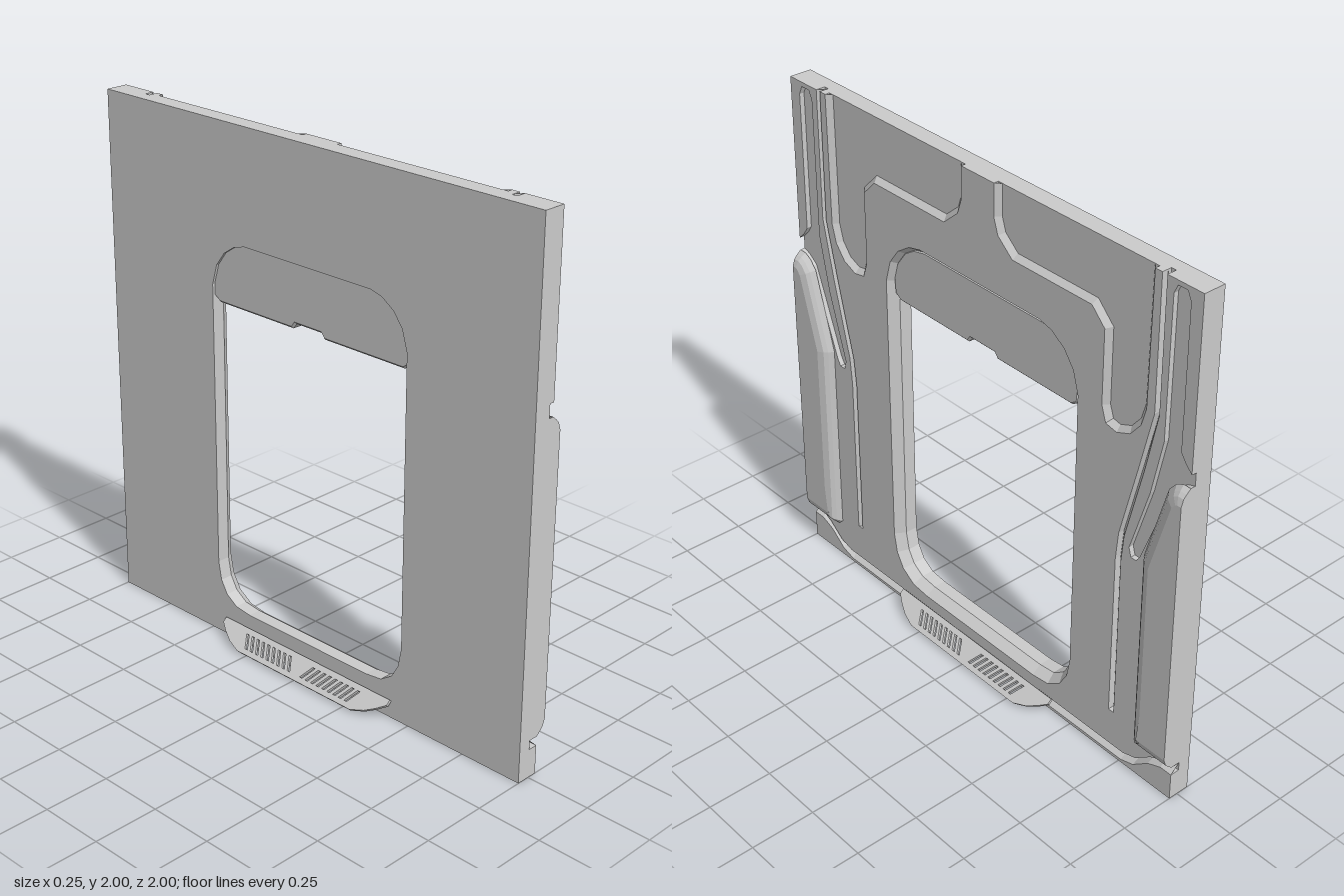
import * as THREE from 'three';

const material = new THREE.MeshStandardMaterial({ color: 0xcccccc, side: THREE.DoubleSide });

// Outlines are [s, y] pairs: s runs sideways across the panel (world -z), x is depth.
const mirror = (pts, m) => pts.map(([s, y]) => [s * m, y]);
const bothHalves = (pts) => [...pts, ...mirror(pts, -1).reverse()];
const toShape = (pts) => new THREE.Shape(pts.map(([s, y]) => new THREE.Vector2(s, y)));

function add(parent, name, geometry) {
  const mesh = new THREE.Mesh(geometry, material);
  mesh.name = name;
  parent.add(mesh);
  return mesh;
}

// Flat plate from an outline, filling depth x0..x1
function plate(pts, x0, x1, holes = [], bevel = 0) {
  const shape = toShape(pts);
  shape.holes = holes.map(toShape);
  const geometry = new THREE.ExtrudeGeometry(shape, {
    depth: x1 - x0 - 2 * bevel, bevelEnabled: bevel > 0, bevelSize: bevel,
    bevelThickness: bevel, bevelOffset: -bevel, bevelSegments: 1,
  });
  return geometry.translate(0, 0, x0 + bevel).rotateY(Math.PI / 2);
}

// Shift a polyline to the right of its direction of travel
function inset(pts, d) {
  const normal = (a, b) => {
    const l = Math.hypot(b[0] - a[0], b[1] - a[1]);
    return [(b[1] - a[1]) / l, (a[0] - b[0]) / l];
  };
  return pts.map((p, i) => {
    const n0 = normal(pts[Math.max(i - 1, 0)], pts[Math.max(i, 1)]);
    const last = pts.length - 1;
    const n1 = normal(pts[Math.min(i, last - 1)], pts[Math.min(i + 1, last)]);
    const k = d / (1 + n0[0] * n1[0] + n0[1] * n1[1]);
    return [p[0] + (n0[0] + n1[0]) * k, p[1] + (n0[1] + n1[1]) * k];
  });
}

// Sloping surface through polylines of equal length, each at its own depth
function slope(rows, closed = false) {
  const n = rows[0].pts.length;
  const pos = [], index = [];
  for (const { pts, x } of rows) for (const [s, y] of pts) pos.push(x, y, -s);
  for (let r = 0; r < rows.length - 1; r++) {
    for (let i = 0; i < (closed ? n : n - 1); i++) {
      const a = r * n + i, b = r * n + (i + 1) % n;
      index.push(a, b, b + n, a, b + n, a + n);
    }
  }
  let geometry = new THREE.BufferGeometry();
  geometry.setAttribute('position', new THREE.Float32BufferAttribute(pos, 3));
  geometry.setIndex(index);
  geometry = geometry.toNonIndexed();
  geometry.computeVertexNormals();
  return geometry;
}

const BACK = -0.05, MID = 0, FLOOR = 0.018, FACE = 0.037;

// Half outlines, mirrored to the other side
const windowEdge = [[0, 1.6], [0.3, 1.6], [0.36, 1.585], [0.42, 1.545], [0.465, 1.485], [0.49, 1.4],
  [0.49, 0.29], [0.475, 0.21], [0.44, 0.15], [0.38, 0.11], [0.3, 0.1], [0, 0.1]];
const windowInner = inset(windowEdge, 0.027);
const recess = [[0.8, 2], [0.795, 1.5], [0.775, 1.43], [0.73, 1.375], [0.67, 1.35], [0.62, 1.36], [0.6, 1.42],
  [0.6, 1.7], [0.54, 1.76], [0.17, 1.76], [0.1, 1.82], [0.08, 1.88], [0.08, 2]];
const slot = [[1, 1.31], [0.97, 1.3], [0.93, 1.27], [0.885, 1.155], [0.8, 0.93], [0.785, 0.905], [0.76, 0.905],
  [0.75, 0.94], [0.83, 1.2], [0.877, 1.42], [0.88, 1.95], [0.895, 1.983], [0.935, 1.983], [0.95, 1.95],
  [0.95, 1.42], [0.97, 1.39], [1, 1.36]];
const grooveOuter = [[0.85, 2], [0.85, 1.5], [0.8, 1.27], [0.725, 0.97], [0.715, 0.86], [0.715, 0.2]];
const grooveInner = [[0.83, 2], [0.83, 1.5], [0.775, 1.27], [0.7, 0.97], [0.69, 0.86], [0.69, 0.2]];
const sillTop = [[0, 0.05], [0.77, 0.05], [0.83, 0.068], [0.9, 0.122], [0.95, 0.145], [1, 0.145]];
const sillLow = [[0, 0.012], [0.76, 0.012], [0.82, 0.03], [0.89, 0.086], [0.95, 0.11], [1, 0.11]];
const podEdge = [[1, 0.145], [0.84, 0.145], [0.82, 0.165], [0.82, 0.95], [0.84, 1.02], [0.91, 1.26],
  [0.94, 1.295], [0.97, 1.31], [1, 1.31]];

function facing(parent, m) {
  const half = new THREE.Group();
  half.name = m > 0 ? 'rearHalfFacing' : 'frontHalfFacing';
  parent.add(half);
  const side = (pts) => mirror(pts, m);
  const ramp = (name, a, xa, b, xb) =>
    add(half, name, slope([{ pts: side(a), x: xa }, { pts: side(b), x: xb }]));

  // Raised face, cut by the slot, groove, recess and window
  const outline = [...sillTop, ...slot, [1, 2], ...grooveOuter, ...[...grooveInner].reverse(),
    ...recess, [0, 2], ...windowEdge];
  add(half, 'raisedFace', plate(side(outline), MID, FACE));
  ramp('windowBevel', windowEdge, FACE, windowInner, MID);

  // Sunken upper field, guide slot and tapering groove
  add(half, 'recessFloor', plate(side(recess), MID, FLOOR));
  ramp('recessBevel', recess, FACE, inset(recess, 0.02), FLOOR);
  add(half, 'slotFloor', plate(side(slot), MID, FLOOR));
  ramp('taperedGroove', grooveOuter, FACE, grooveInner, 0.012);

  // Bottom sill below its undercut
  add(half, 'bottomSill', plate(side([...sillLow, [1, 0], [0, 0]]), MID, FACE));
  ramp('sillSlope', sillTop, MID, sillLow, FACE);

  // Bulging side pod, rounded on all edges but the outer one
  const rows = [[0, FACE], [0.015, 0.055], [0.028, 0.067], [0.055, 0.076]].map(([d, x]) => {
    const pts = inset(podEdge, d);
    pts[0][0] = pts[pts.length - 1][0] = 1;
    return { pts: side(pts), x };
  });
  add(half, 'sidePod', slope(rows, true));
  add(half, 'sidePodFace', plate(rows[3].pts, MID, 0.076));
}

// Tilted grip flap with two rows of slanted vents
function handle() {
  const outline = [[0.42, 0], [0.42, -0.022], [0.385, -0.05], [0.345, -0.075], [0.29, -0.095]];
  const vents = [];
  for (const m of [1, -1]) {
    for (let i = 0; i < 9; i++) {
      const s = 0.025 + i * 0.028;
      vents.push(mirror([[s, -0.075], [s + 0.013, -0.075], [s + 0.043, -0.022], [s + 0.03, -0.022]], m));
    }
  }
  const group = new THREE.Group();
  group.name = 'handle';
  const flap = add(group, 'handleFlap', plate(bothHalves(outline), 0, 0.012, vents));
  flap.rotation.z = THREE.MathUtils.degToRad(47);
  flap.position.set(0.048, 0.066, 0);
  return group;
}

export function createModel() {
  const model = new THREE.Group();
  model.name = 'doorPanel';

  // Flat back sheet with the window opening
  const sheet = [[-1, 0], [1, 0], [1, 2], [-1, 2]];
  add(model, 'backSheet', plate(sheet, BACK, MID, [bothHalves(windowInner.slice(1, -1))]));

  for (const m of [1, -1]) facing(model, m);

  // Roller flap closing the top of the window, with a finger notch
  const shutter = [[0.06, 1.35], [0.075, 1.33], [0.44, 1.33], [0.47, 1.35], [0.475, 1.41],
    [0.455, 1.48], [0.41, 1.54], [0.36, 1.572], [0.3, 1.585]];
  add(model, 'windowShutter', plate(bothHalves(shutter), -0.04, 0.017, [], 0.008));

  // Handles on both faces
  const frontHandle = handle();
  const backHandle = handle();
  backHandle.rotation.y = Math.PI;
  model.add(frontHandle, backHandle);
  return model;
}
